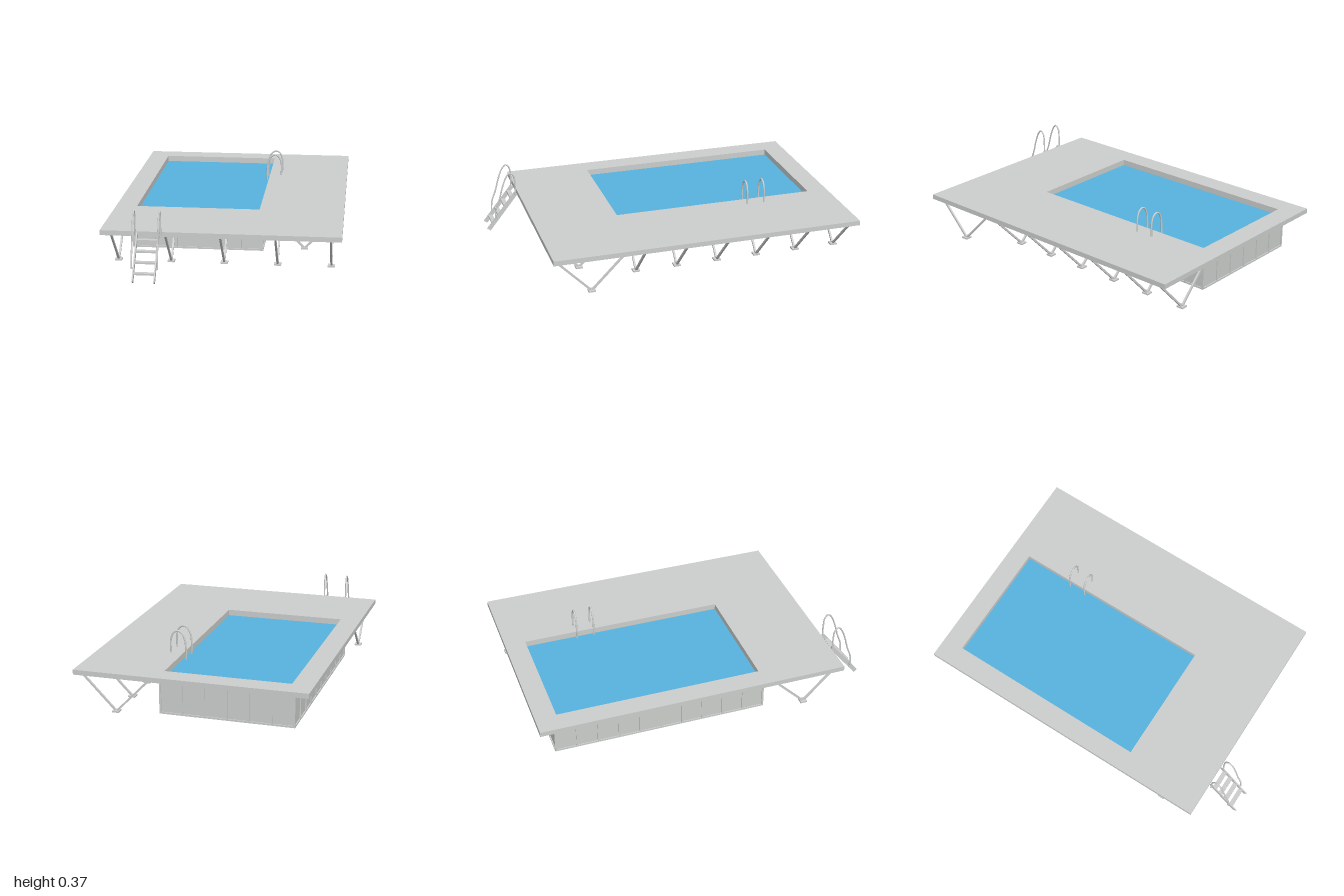
import * as THREE from 'three';

export function createModel() {
  const model = new THREE.Group();
  model.name = 'poolWithDeck';
  const mat = (name, color) => {
    const m = new THREE.MeshStandardMaterial({ color });
    m.name = name;
    return m;
  };
  const grey = mat('grey metal', 0xcbcecc);
  const blue = mat('water blue', 0x56b2de);
  const navy = mat('pool base navy', 0x266ca9);

  const group = (name) => {
    const g = new THREE.Group();
    g.name = name;
    model.add(g);
    return g;
  };
  // Box given by its lower and upper corners
  const box = (parent, name, [x0, y0, z0], [x1, y1, z1], material = grey) => {
    const mesh = new THREE.Mesh(new THREE.BoxGeometry(x1 - x0, y1 - y0, z1 - z0), material);
    mesh.position.set((x0 + x1) / 2, (y0 + y1) / 2, (z0 + z1) / 2);
    mesh.name = name;
    parent.add(mesh);
  };
  // Square bar between two points
  const bar = (parent, name, a, b, w = 0.011, d = w) => {
    const p = new THREE.Vector3(...a), q = new THREE.Vector3(...b);
    const mesh = new THREE.Mesh(new THREE.BoxGeometry(w, d, p.distanceTo(q)), grey);
    mesh.position.copy(p).add(q).multiplyScalar(0.5);
    mesh.lookAt(q);
    mesh.name = name;
    parent.add(mesh);
  };
  const tube = (parent, name, points, r) => {
    const curve = new THREE.CatmullRomCurve3(points.map((p) => new THREE.Vector3(...p)));
    const mesh = new THREE.Mesh(new THREE.TubeGeometry(curve, 48, r, 16), grey);
    mesh.name = name;
    parent.add(mesh);
  };

  // Rectangular ring extruded upwards
  const rect = (Type, x0, x1, z0, z1) => {
    const s = new Type();
    s.moveTo(x0, -z1).lineTo(x1, -z1).lineTo(x1, -z0).lineTo(x0, -z0).closePath();
    return s;
  };
  const ring = (parent, name, outer, hole, y0, y1) => {
    const s = rect(THREE.Shape, ...outer);
    const h = rect(THREE.Path, ...hole);
    s.holes.push(h);
    const g = new THREE.ExtrudeGeometry(s, { depth: y1 - y0, bevelEnabled: false });
    g.rotateX(-Math.PI / 2).translate(0, y0, 0);
    const mesh = new THREE.Mesh(g, grey);
    mesh.name = name;
    parent.add(mesh);
  };

  // Deck plate with the pool opening
  const X = 0.66, Z0 = -1, Z1 = 0.803, under = 0.212, plate = 0.228, top = 0.24;
  const deck = group('deck');
  const opening = [-0.538, 0.175, -0.878, 0.318];
  ring(deck, 'deckPlate', [-X, X, Z0, Z1], opening, plate, top);
  ring(deck, 'deckRim', [-X, X, Z0, Z1], [-X + 0.012, X - 0.012, Z0 + 0.012, Z1 - 0.012], under, plate);

  // Pool shell, framed panels, water and base
  const L = -0.563, R = 0.2, B = -0.902, F = 0.347;
  const pool = group('pool');
  ring(pool, 'poolWall', [L + 0.006, R - 0.006, B + 0.006, F - 0.006], opening, 0.004, plate);
  box(pool, 'water', [-0.545, 0.198, -0.885], [0.18, 0.205, 0.325], blue);
  box(pool, 'poolBase', [L + 0.01, 0.002, B + 0.01], [R - 0.01, 0.008, F - 0.01], navy);
  ring(pool, 'bottomRail', [L, R, B, F], [L + 0.012, R - 0.012, B + 0.012, F - 0.012], 0, 0.01);
  ring(pool, 'topRail', [L, R, B, F], [L + 0.012, R - 0.012, B + 0.012, F - 0.012], 0.204, under);
  const t = 0.005;
  for (let i = 0; i <= 6; i++) {
    const x = THREE.MathUtils.lerp(L + t, R - t, i / 6);
    for (const z of [B + t, F - t]) box(pool, 'wallPost', [x - t, 0.005, z - t], [x + t, under, z + t]);
  }
  for (let i = 1; i < 10; i++) {
    const z = THREE.MathUtils.lerp(B + t, F - t, i / 10);
    for (const x of [L + t, R - t]) box(pool, 'wallPost', [x - t, 0.005, z - t], [x + t, under, z + t]);
  }

  // V-shaped supports under the wide sides, short braces under the narrow ones
  const supports = group('supports');
  const frontX = [-0.6, -0.3, 0, 0.3, 0.6];
  const sideZ = [0.28, 0.036, -0.208, -0.452, -0.696, -0.94];
  const foot = (x, z) => box(supports, 'foot', [x - 0.02, 0, z - 0.02], [x + 0.02, 0.009, z + 0.02]);
  for (const x of frontX) {
    bar(supports, 'frontStrut', [x, 0.008, 0.587], [x, 0.217, 0.79]);
    bar(supports, 'frontStrut', [x, 0.008, 0.577], [x, 0.217, 0.37]);
    foot(x, 0.582);
    box(supports, 'frontBeam', [x - 0.008, under, F], [x + 0.008, plate, Z1 - 0.01]);
    if (x < R) {
      box(supports, 'backBeam', [x - 0.008, under, Z0 + 0.01], [x + 0.008, plate, B]);
      if (x > L) bar(supports, 'backBrace', [x, 0.217, -0.95], [x, 0.18, B], 0.009);
    }
  }
  for (const z of sideZ) {
    bar(supports, 'sideStrut', [0.44, 0.008, z], [0.643, 0.217, z]);
    bar(supports, 'sideStrut', [0.43, 0.008, z], [0.227, 0.217, z]);
    foot(0.435, z);
    box(supports, 'sideBeam', [R, under, z - 0.008], [X - 0.01, plate, z + 0.008]);
    if (z > B) {
      box(supports, 'leftBeam', [-X + 0.01, under, z - 0.008], [L, plate, z + 0.008]);
      bar(supports, 'leftBrace', [-0.61, 0.217, z], [L, 0.18, z], 0.009);
    }
  }

  // Joists running crosswise under the deck
  const joists = group('joists');
  for (let i = 0; i < 4; i++) {
    const z = 0.42 + i * 0.11;
    box(joists, 'frontJoist', [-X + 0.01, 0.214, z - 0.008], [X - 0.01, plate, z + 0.008]);
  }
  for (let i = 0; i < 5; i++) {
    for (const f of [1 / 3, 2 / 3]) {
      const z = THREE.MathUtils.lerp(sideZ[i], sideZ[i + 1], f);
      box(joists, 'sideJoist', [R, 0.214, z - 0.008], [X - 0.01, plate, z + 0.008]);
    }
  }

  // Entry ladder with sloping stringers, treads and curved handrails
  const ladder = group('entryLadder');
  for (const s of [-1, 1]) {
    const x = -0.391 + s * 0.059, h = -0.391 + s * 0.07;
    bar(ladder, 'stringer', [x, 0.013, 0.99], [x, 0.232, 0.815], 0.007, 0.025);
    tube(ladder, 'handrail', [[h, 0.075, 0.948], [h, 0.14, 0.942], [h, 0.21, 0.917], [h, 0.29, 0.894],
      [h, 0.35, 0.869], [h, 0.37, 0.847], [h, 0.35, 0.826], [h, 0.29, 0.819], [h, 0.225, 0.819]], 0.0045);
    for (const [y, z] of [[0.078, 0.945], [0.228, 0.819]]) {
      box(ladder, 'railBracket', [Math.min(x, h) - 0.003, y - 0.004, z - 0.004],
        [Math.max(x, h) + 0.003, y + 0.004, z + 0.004]);
    }
  }
  for (let i = 0; i < 4; i++) {
    const y = 0.052 + i * 0.05, z = 0.958 - i * 0.04;
    box(ladder, 'tread', [-0.45, y - 0.005, z - 0.013], [-0.332, y + 0.005, z + 0.013]);
  }

  // Arched grab rails at the pool edge
  const rails = group('poolGrabRails');
  for (const z of [-0.462, -0.566]) {
    tube(rails, 'grabRail', [[0.159, 0.2, z], [0.158, 0.26, z], [0.164, 0.32, z], [0.182, 0.358, z],
      [0.206, 0.37, z], [0.23, 0.358, z], [0.245, 0.325, z], [0.248, 0.28, z], [0.246, 0.232, z]], 0.005);
  }
  return model;
}
